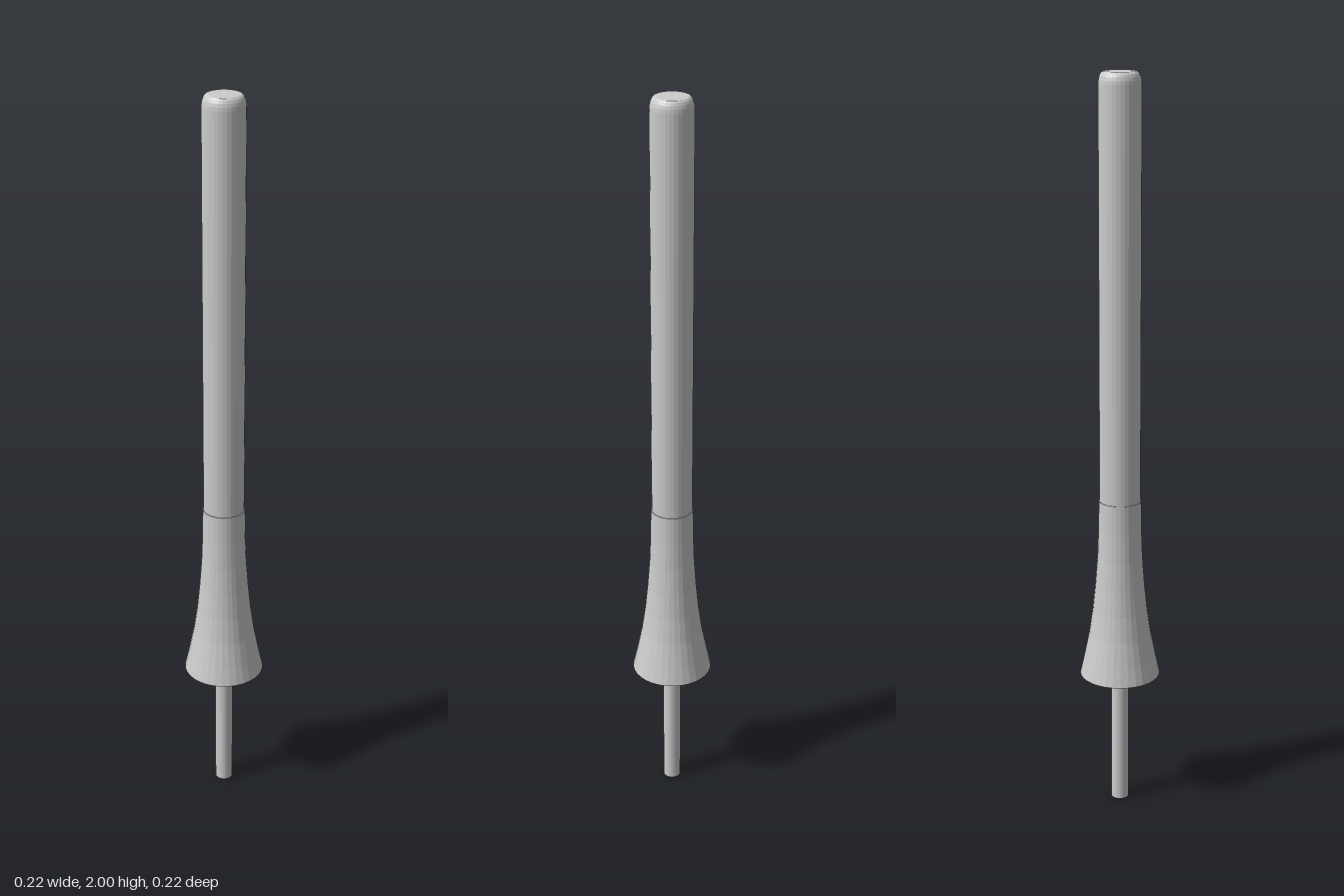
import * as THREE from 'three';

const SIDES = 32;
const material = new THREE.MeshStandardMaterial({ color: 0xcccccc, flatShading: true });

// Revolves a list of [radius, height] pairs, bottom to top, around the y axis
function turned(name, profile, sides = SIDES) {
  const points = profile.map(([r, y]) => new THREE.Vector2(r, y));
  const mesh = new THREE.Mesh(new THREE.LatheGeometry(points, sides), material);
  mesh.name = name;
  return mesh;
}

export function createModel() {
  const model = new THREE.Group();
  model.name = 'flaredRod';

  // Thin pin the model stands on, running up into the flare
  model.add(turned('pin', [[0, 0], [0.024, 0], [0.024, 0.4], [0, 0.4]]));

  // Trumpet-shaped flare with a closed base and a small step at its top
  model.add(turned('flare', [
    [0, 0.38], [0.109, 0.38], [0.098, 0.43], [0.084, 0.5], [0.074, 0.57],
    [0.067, 0.64], [0.061, 0.72], [0.058, 0.8], [0.057, 0.88], [0.05, 0.88],
  ]));

  // Long straight shaft with a rounded shoulder and flat top
  const shaft = [[0.055, 0.86]];
  const steps = 5;
  for (let i = 0; i <= steps; i++) {
    const a = (i / steps) * Math.PI / 2;
    shaft.push([0.04 + 0.015 * Math.cos(a), 1.97 + 0.03 * Math.sin(a)]);
  }
  shaft.push([0, 2]);
  model.add(turned('shaft', shaft));

  return model;
}
